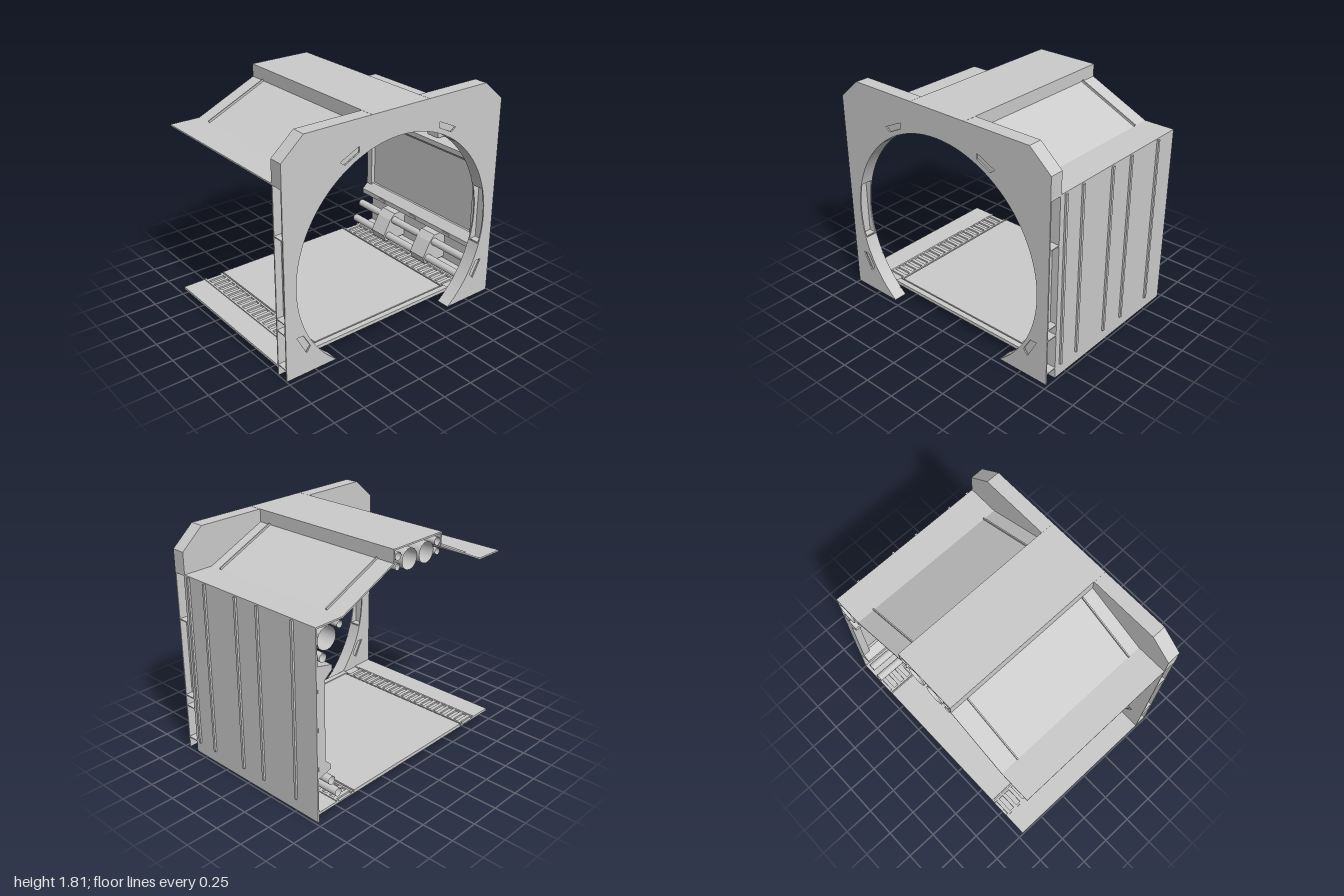
import * as THREE from 'three';

const H = 0.9925, R = 0.895, CY = 0.7, BACK = -0.715, MID = 0.605, FRONT = 0.715;
const LEN = MID - BACK, ZC = (MID + BACK) / 2;
const mat = new THREE.MeshStandardMaterial({ color: 0xcccccc, side: THREE.DoubleSide });
const flat = mat.clone();
flat.flatShading = true;

export function createModel() {
  const model = new THREE.Group();
  const body = new THREE.Group();
  body.name = 'corridorSection';
  body.position.x = -0.0075;
  model.add(body);

  const add = (name, geo, x = 0, y = 0, z = 0, m = flat) => {
    const mesh = new THREE.Mesh(geo, m);
    mesh.name = name;
    mesh.position.set(x, y, z);
    body.add(mesh);
    return mesh;
  };
  // box given by its limits
  const box = (name, x0, x1, y0, y1, z0, z1) =>
    add(name, new THREE.BoxGeometry(x1 - x0, y1 - y0, z1 - z0), (x0 + x1) / 2, (y0 + y1) / 2, (z0 + z1) / 2);
  const poly = pts => new THREE.Shape(pts.map(p => new THREE.Vector2(...p)));
  // cross-section in x and y run along z
  const prism = (name, shape, z0, z1, m = flat) =>
    add(name, new THREE.ExtrudeGeometry(shape, { depth: z1 - z0, bevelEnabled: false, curveSegments: 64 }), 0, 0, z0, m);
  // open pipe along z
  const pipe = (name, x, y, r, z0 = BACK, z1 = MID) => {
    const p = add(name, new THREE.CylinderGeometry(r, r, z1 - z0, 20, 1, true), x, y, (z0 + z1) / 2, mat);
    p.rotation.x = Math.PI / 2;
  };

  // Front frame: two plates with a round opening and shallow lamp pockets
  const pockets = [];
  for (const s of [1, -1]) {
    pockets.push([[0.365, 1.605], [0.365, 1.56], [0.485, 1.5], [0.525, 1.53]].map(([x, y]) => [x * s, y]));
    pockets.push([[0.845, 0.32], [0.9, 0.32], [0.82, 0.17], [0.785, 0.215]].map(([x, y]) => [x * s, y]));
  }
  const foot = Math.sqrt(R * R - CY * CY), footAngle = Math.atan2(-CY, foot);
  const plate = new THREE.Shape();
  plate.moveTo(-H, 0);
  plate.lineTo(-foot, 0);
  plate.absarc(0, CY, R, Math.PI - footAngle, footAngle, true);
  plate.lineTo(H, 0);
  plate.lineTo(H, 1.645);
  plate.lineTo(0.815, 1.8);
  plate.lineTo(-0.815, 1.8);
  plate.lineTo(-H, 1.645);
  plate.holes = pockets.map(poly);
  prism('frameFrontPlate', plate, FRONT - 0.01, FRONT);
  prism('frameBackPlate', plate, MID, MID + 0.01);
  for (const p of pockets) prism('lampPocket', poly(p), MID + 0.012, FRONT - 0.012);

  // Inner ring of the frame, open at a slot on each side
  const slot = 0.27;
  const arc = (a0, a1) => {
    const s = new THREE.Shape();
    s.absarc(0, CY, R, a0, a1, false);
    s.absarc(0, CY, R + 0.006, a1, a0, true);
    prism('frameInnerRing', s, MID, FRONT, mat);
  };
  arc(footAngle, -slot);
  arc(slot, Math.PI - slot);
  arc(Math.PI + slot, Math.PI - footAngle);

  // Frame rim: closed above, cross shelves in the open sides
  box('frameTop', -0.815, 0.815, 1.79, 1.8, MID, FRONT);
  for (const s of [1, -1]) {
    prism('frameChamfer', poly([[s * 0.815, 1.8], [s * H, 1.645], [s * (H - 0.01), 1.64], [s * 0.81, 1.79]]), MID, FRONT);
    const side = (x0, x1) => [Math.min(s * x0, s * x1), Math.max(s * x0, s * x1)];
    box('frameUpperSide', ...side(H - 0.01, H), 1.47, 1.645, MID, FRONT);
    box('slotBacking', ...side(0.93, 0.938), 0.46, 1.1, MID, FRONT);
    for (const [y, x] of [[1.465, 0.5], [1.095, 0.81], [0.46, 0.87], [0.37, 0.84], [0.085, 0.67]])
      box('frameShelf', ...side(x, H), y, y + 0.008, MID, FRONT);
  }

  // Roof: raised centre, slopes and flat eaves
  const half = [[0.2575, 1.8], [0.2575, 1.7], [0.7475, 1.475], [H, 1.475]];
  const under = [[H, 1.463], [0.745, 1.463], [0.246, 1.692], [0.246, 1.788]];
  const flip = pts => pts.map(([x, y]) => [-x, y]).reverse();
  prism('roof', poly([...half, ...under, ...flip(under), ...flip(half)]), BACK, MID);
  const run = Math.hypot(0.49, 0.225), tilt = Math.atan2(0.225, 0.49);
  for (const s of [1, -1]) {
    for (const z of [0.5, -0.57]) {
      const rib = add('roofRib', new THREE.BoxGeometry(run, 0.02, 0.01), s * 0.505, 1.593, z);
      rib.rotation.z = -s * tilt;
    }
    box('frameTopSeam', s * 0.2575 - 0.003, s * 0.2575 + 0.003, 1.7, 1.801, MID, FRONT);
  }

  // Pipes under the raised roof
  for (const s of [1, -1]) {
    pipe('roofPipe', s * 0.09, 1.69, 0.078);
    pipe('roofSmallPipe', s * 0.21, 1.74, 0.03);
    pipe('roofSmallPipe', s * 0.215, 1.665, 0.025);
  }

  // Floor: deck, sunken ladder treads, outer margins
  box('floorBase', -H, H, 0.06, 0.072, BACK, MID);
  box('floorDeck', -0.63, 0.63, 0.072, 0.088, BACK, 0.55);
  box('floorFrontLip', -0.66, 0.66, 0.072, 0.088, 0.56, MID);
  for (const s of [1, -1]) {
    box('floorMargin', s * 0.9 - 0.0925, s * 0.9 + 0.0925, 0.072, 0.08, BACK, MID);
    box('treadRail', s * 0.65 - 0.008, s * 0.65 + 0.008, 0.072, 0.088, BACK, 0.55);
    box('treadRail', s * 0.8 - 0.008, s * 0.8 + 0.008, 0.072, 0.088, BACK, 0.55);
    for (let i = 0; i < 18; i++) {
      const z = BACK + 0.02 + i * 0.07;
      box('tread', s * 0.725 - 0.067, s * 0.725 + 0.067, 0.072, 0.086, z, z + 0.03);
    }
  }

  // Side wall with outer battens
  box('sideWall', H - 0.012, H, 0, 1.47, BACK, MID);
  for (const z of [0.56, 0.38, 0.05, -0.17, -0.505])
    box('wallBatten', H, 1.0075, 0.1, 1.465, z - 0.01, z + 0.01);

  // Inner wall: framed recessed panel between two ledges
  box('wallPanel', 0.95, 0.98, 0.45, 1.1, BACK + 0.06, MID - 0.04);
  box('panelPost', 0.915, 0.98, 0.42, 1.12, BACK, BACK + 0.06);
  box('panelPost', 0.915, 0.98, 0.42, 1.12, MID - 0.04, MID);
  prism('lowerLedge', poly([[0.98, 0.48], [0.93, 0.48], [0.865, 0.42], [0.865, 0.38], [0.98, 0.35]]), BACK, MID);
  prism('upperLedge', poly([[0.98, 1.08], [0.915, 1.08], [0.85, 1.13], [0.85, 1.17], [0.98, 1.2]]), BACK, MID);
  for (const z of [-0.45, -0.05, 0.35]) box('ledgeLamp', 0.858, 0.87, 0.39, 0.41, z - 0.04, z + 0.04);

  // Pipes and clamps in the wall corners
  pipe('upperWallPipe', 0.895, 1.372, 0.083);
  pipe('upperSmallPipe', 0.93, 1.245, 0.032);
  pipe('upperSmallPipe', 0.775, 1.43, 0.025);
  pipe('lowerWallPipe', 0.855, 0.28, 0.032);
  pipe('lowerWallPipe', 0.79, 0.15, 0.032);
  for (const z of [-0.35, 0.15]) {
    prism('pipeClamp', poly([[0.98, 0.34], [0.86, 0.34], [0.81, 0.29], [0.74, 0.16], [0.76, 0.1], [0.98, 0.1]]), z - 0.08, z + 0.08);
    box('upperPipeBracket', 0.86, 0.98, 1.2, 1.32, z - 0.06, z + 0.06);
  }

  return model;
}
